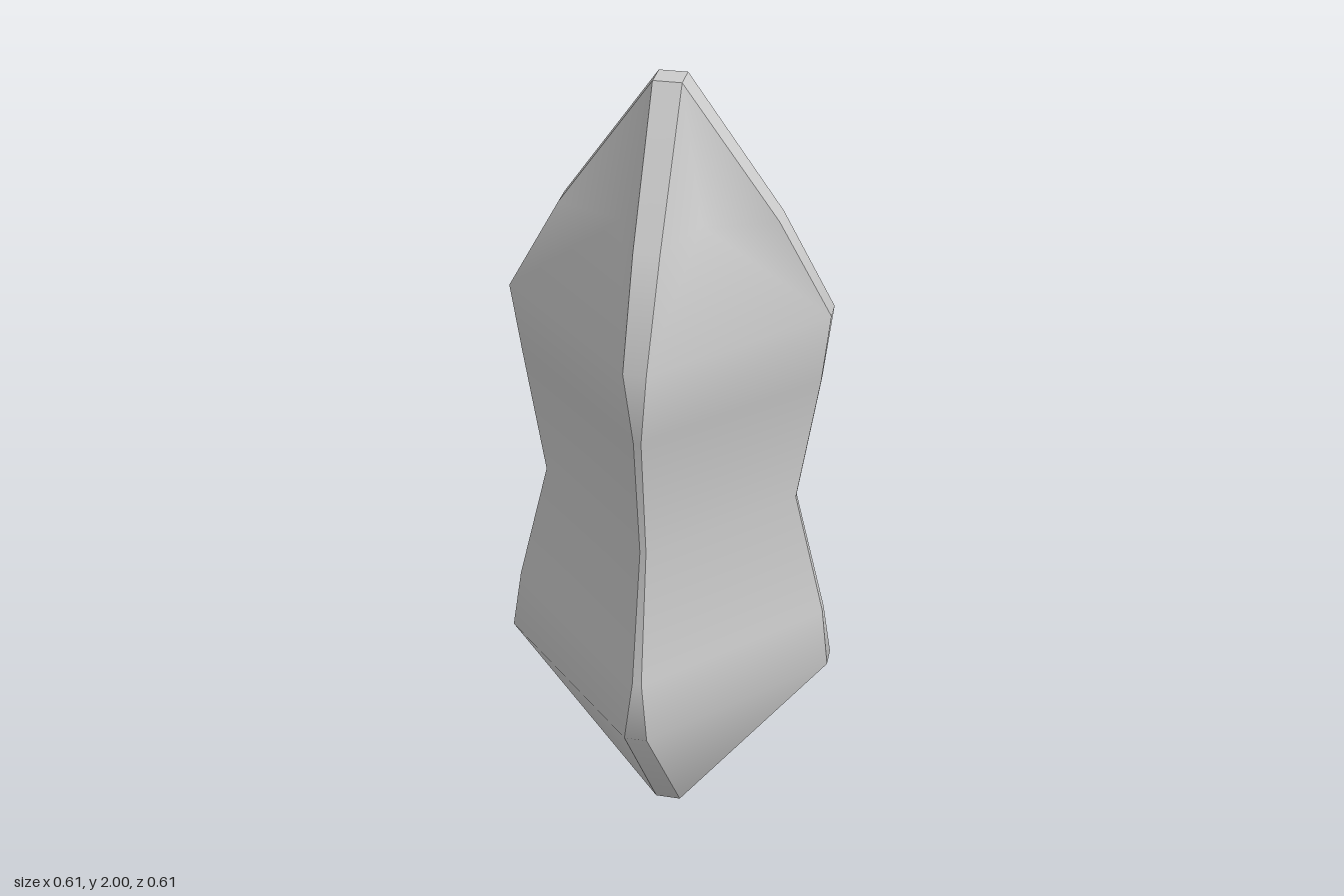
import * as THREE from 'three';

// Rings from bottom to top: [height, half width, half width of the flat side]
const RINGS = [
  [0, 0.045, 0],
  [0.51, 0.303, 0.265],
  [0.66, 0.277, 0.262],
  [0.98, 0.22, 0.21],
  [1.3, 0.254, 0.242],
  [1.48, 0.279, 0.243],
  [1.7, 0.195, 0.154],
  [2, 0.045, 0],
];

// Smooth normals, each face weighted by its angle at the vertex
function angleNormals(points, index) {
  const normals = points.map(() => new THREE.Vector3());
  for (let i = 0; i < index.length; i += 3) {
    const tri = index.slice(i, i + 3);
    const [a, b, c] = tri.map((k) => points[k]);
    const face = new THREE.Triangle(a, b, c).getNormal(new THREE.Vector3());
    tri.forEach((k, j) => {
      const toNext = points[tri[(j + 1) % 3]].clone().sub(points[k]);
      const toLast = points[tri[(j + 2) % 3]].clone().sub(points[k]);
      normals[k].addScaledVector(face, toNext.angleTo(toLast));
    });
  }
  return normals.map((n) => n.normalize());
}

// One vertical strip between two edge rules; with a hollow point, the part
// above the shoulder becomes a fan that sinks in between the corner ridges
function strip(left, right, hollow) {
  const points = [];
  const index = [];
  const quads = hollow ? RINGS.length - 3 : RINGS.length - 1;
  RINGS.forEach(([y, h, f], i) => {
    const [ax, az] = left(h, f);
    const [bx, bz] = right(h, f);
    points.push(new THREE.Vector3(ax, y, az), new THREE.Vector3(bx, y, bz));
    if (i >= quads) return;
    const p = 2 * i;
    index.push(p, p + 1, p + 3, p, p + 3, p + 2);
  });
  if (hollow) {
    const p = 2 * quads;
    const rim = [p, p + 1, p + 3, p + 4, p + 2];
    rim.forEach((v, i) => index.push(v, rim[(i + 1) % 5], points.length));
    points.push(hollow);
  }
  const geometry = new THREE.BufferGeometry().setFromPoints(points);
  const normals = angleNormals(points, index).flatMap((n) => n.toArray());
  geometry.setAttribute('normal', new THREE.Float32BufferAttribute(normals, 3));
  geometry.setIndex(index);
  return geometry;
}

export function createModel() {
  const group = new THREE.Group();
  group.name = 'crystal';
  const material = new THREE.MeshStandardMaterial({ color: 0xcccccc });
  const add = (name, geometry) => {
    const mesh = new THREE.Mesh(geometry, material);
    mesh.name = name;
    group.add(mesh);
    return mesh;
  };

  // Four broad sides and four bevelled corners
  const hollow = new THREE.Vector3(0, 1.7, 0.125);
  const side = strip((h, f) => [-f, h], (h, f) => [f, h], hollow);
  const corner = strip((h, f) => [f, h], (h, f) => [h, f]);
  for (let i = 0; i < 4; i++) {
    add('side' + (i + 1), side).rotation.y = (i * Math.PI) / 2;
    add('cornerBevel' + (i + 1), corner).rotation.y = (i * Math.PI) / 2;
  }

  // Small diamond caps at both tips
  const cap = new THREE.CircleGeometry(0.045, 4);
  const top = add('topTip', cap);
  top.rotation.x = -Math.PI / 2;
  top.position.y = 2;
  add('bottomTip', cap).rotation.x = Math.PI / 2;

  return group;
}
